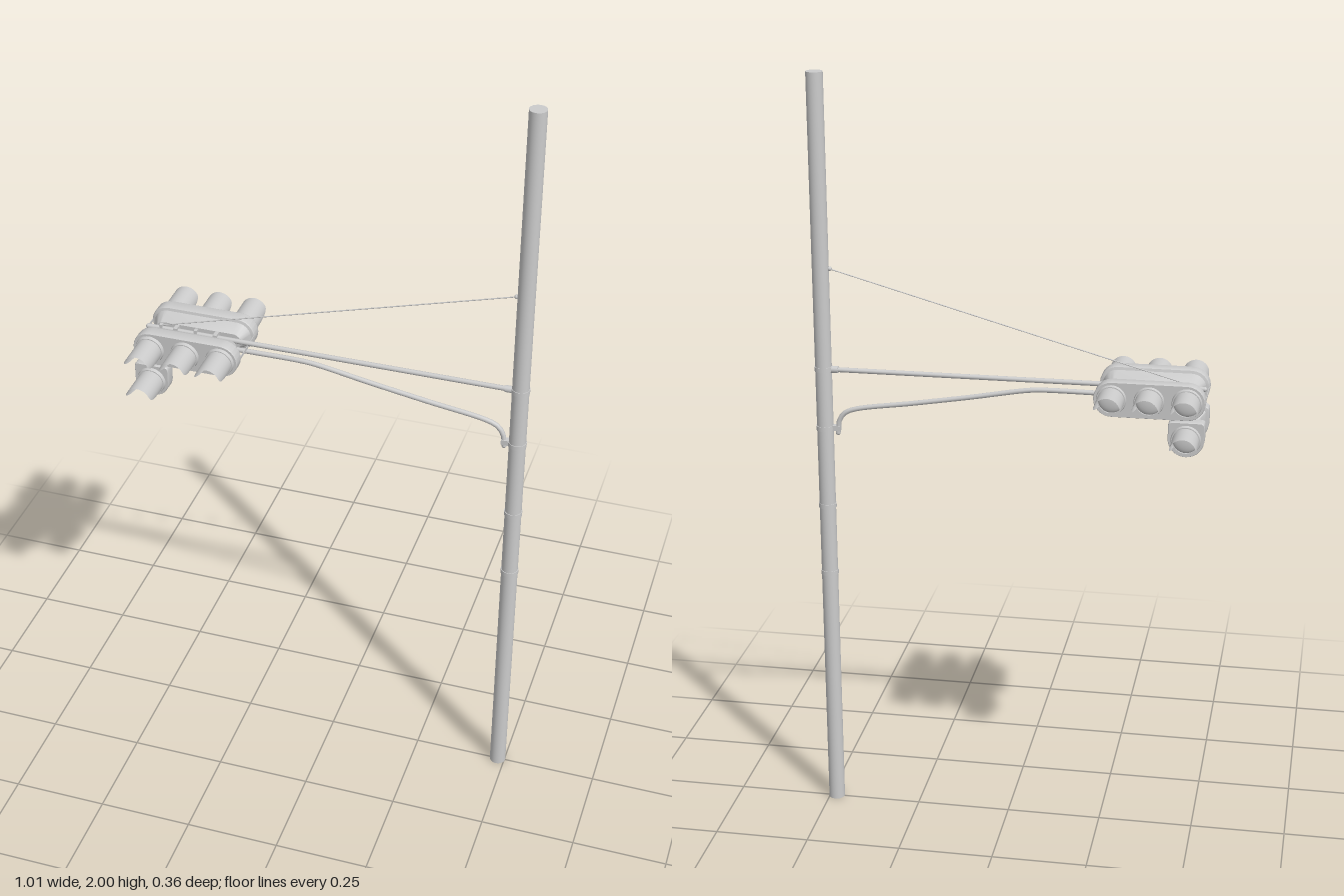
import * as THREE from 'three';
import { toCreasedNormals } from 'three/addons/utils/BufferGeometryUtils.js';

const grey = new THREE.MeshStandardMaterial({ color: 0xcccccc });
const greyThin = new THREE.MeshStandardMaterial({ color: 0xcccccc, side: THREE.DoubleSide });

const POLE_X = 0.481, POLE_R = 0.0215;
const UPPER_Y = 1.225, LOWER_Y = 1.13, LOWER_X = -0.461, HEAD_X = -0.367, PITCH = 0.094;
const BACK_Z = 0.014, STEP_Z = 0.049, FACE_Z = 0.083, RIM_Z = 0.092, TIP_Z = 0.178;

function add(parent, name, geometry, x = 0, y = 0, z = 0, material = grey) {
  const mesh = new THREE.Mesh(geometry, material);
  mesh.name = name;
  mesh.position.set(x, y, z);
  parent.add(mesh);
  return mesh;
}

// Counterclockwise arc sampled into points
function arc(cx, cy, r, from, to, n = 12) {
  return Array.from({ length: n + 1 }, (_, i) => {
    const a = from + (to - from) * i / n;
    return [cx + r * Math.cos(a), cy + r * Math.sin(a)];
  });
}

// Capsule outline for the three-lamp housing
const capsule = (r) => [
  ...arc(PITCH, 0, r, -Math.PI / 2, Math.PI / 2),
  ...arc(-PITCH, 0, r, Math.PI / 2, Math.PI * 1.5),
];

// Round-bottomed, square-topped outline for the single-lamp housing
const shield = (r) => [
  ...arc(0, 0, r, Math.PI, Math.PI * 2, 20),
  ...arc(r * 0.8, r * 0.8, r * 0.2, 0, Math.PI / 2, 4),
  ...arc(-r * 0.8, r * 0.8, r * 0.2, Math.PI / 2, Math.PI, 4),
];

// Closed solid through outlines of changing radius, listed as [z, radius]
function loft(outline, sections) {
  const pos = [], idx = [], n = outline(1).length;
  for (const [z, r] of sections) for (const [x, y] of outline(r)) pos.push(x, y, z);
  for (let i = 0; i < sections.length - 1; i++) {
    for (let j = 0; j < n; j++) {
      const a = i * n + j, b = i * n + (j + 1) % n;
      idx.push(a, b, b + n, a, b + n, a + n);
    }
  }
  const last = (sections.length - 1) * n;
  for (let j = 1; j < n - 1; j++) {
    idx.push(0, j + 1, j);
    idx.push(last, last + j, last + j + 1);
  }
  const g = new THREE.BufferGeometry();
  g.setAttribute('position', new THREE.Float32BufferAttribute(pos, 3));
  g.setIndex(idx);
  return toCreasedNormals(g, 0.5);
}

// Cutaway visor: full length above, curving back to the rim below
function visorGeometry(r) {
  const g = new THREE.CylinderGeometry(r, r, 1, 48, 6, true).rotateX(Math.PI / 2);
  const p = g.attributes.position;
  for (let i = 0; i < p.count; i++) {
    const t = THREE.MathUtils.clamp((p.getY(i) / r + 0.42) / 0.85, 0, 1);
    const end = RIM_Z + (TIP_Z - RIM_Z) * Math.sqrt(1 - (1 - t) ** 2);
    p.setZ(i, FACE_Z + (p.getZ(i) + 0.5) * (end - FACE_Z));
  }
  return g;
}

// One signal head facing +z, with a lamp at each offset
function signalHead(name, outline, offsets) {
  const head = new THREE.Group();
  head.name = name;
  add(head, 'housing', loft(outline, [
    [BACK_Z, 0.022], [STEP_Z - 0.002, 0.037], [STEP_Z, 0.044],
    [STEP_Z + 0.003, 0.0455], [FACE_Z - 0.003, 0.0455], [FACE_Z, 0.044],
  ]));
  for (const x of offsets) {
    const rim = new THREE.CylinderGeometry(0.036, 0.038, RIM_Z - FACE_Z, 40, 1, true).rotateX(Math.PI / 2);
    add(head, 'lampRim', rim, x, 0, (RIM_Z + FACE_Z) / 2, greyThin);
    add(head, 'rimFace', new THREE.RingGeometry(0.032, 0.036, 40), x, 0, RIM_Z);
    const lens = new THREE.SphereGeometry(0.033, 32, 8, 0, Math.PI * 2, 0, Math.PI / 2);
    add(head, 'lens', lens.rotateX(Math.PI / 2).scale(1, 1, 0.3), x, 0, FACE_Z + 0.001);
    add(head, 'visor', visorGeometry(0.0335), x, 0, 0, greyThin);
  }
  return head;
}

// Round bar along a path of [x, y] points, with closed ends
function bar(parent, name, points, r, bends = false) {
  const v = points.map(([x, y]) => new THREE.Vector3(x, y, 0));
  const path = bends ? new THREE.CatmullRomCurve3(v, false, 'centripetal') : new THREE.LineCurve3(v[0], v[1]);
  add(parent, name, new THREE.TubeGeometry(path, bends ? 64 : 1, r, 12), 0, 0, 0, greyThin);
  for (const end of [v[0], v[v.length - 1]]) {
    add(parent, name + 'End', new THREE.SphereGeometry(r, 12, 8), end.x, end.y, 0);
  }
}

export function createModel() {
  const model = new THREE.Group();
  model.name = 'trafficSignalPole';

  // Pole with its clamp bands
  add(model, 'pole', new THREE.CylinderGeometry(POLE_R, POLE_R, 2, 32), POLE_X, 1, 0);
  for (const y of [0.675, 0.865, 1.08, 1.24]) {
    add(model, 'poleBand', new THREE.CylinderGeometry(0.0232, 0.0232, 0.012, 32), POLE_X, y, 0);
  }

  // Mast arm, curved brace and stay wire
  bar(model, 'upperArm', [[-0.497, 1.238], [POLE_X, 1.238]], 0.0065);
  bar(model, 'lowerArm', [
    [-0.497, 1.213], [-0.25, 1.213], [-0.09, 1.213], [-0.05, 1.21], [0.1, 1.183], [0.25, 1.158],
    [0.4, 1.134], [0.428, 1.122], [0.443, 1.1], [0.447, 1.067],
  ], 0.0065, true);
  bar(model, 'stayWire', [[-0.461, 1.247], [0.458, 1.504]], 0.0015);

  // Fixings on the pole
  add(model, 'wireEye', new THREE.SphereGeometry(0.006, 12, 8), 0.457, 1.504, 0);
  add(model, 'braceClip', new THREE.BoxGeometry(0.03, 0.014, 0.016), 0.455, 1.08, 0);
  add(model, 'armSocket', new THREE.CylinderGeometry(0.009, 0.009, 0.02, 16).rotateZ(Math.PI / 2), 0.452, 1.238, 0);

  // Hangers between the arms, and the drop bar for the lower heads
  for (const x of [-0.42, -0.313]) {
    add(model, 'hanger', new THREE.BoxGeometry(0.01, 0.05, 0.022), x, 1.225, 0);
  }
  for (const x of [LOWER_X, HEAD_X]) {
    add(model, 'wireClip', new THREE.BoxGeometry(0.008, 0.012, 0.012), x, 1.245, 0);
  }
  add(model, 'dropBar', new THREE.BoxGeometry(0.012, 0.12, 0.01), LOWER_X, 1.165, 0);
  add(model, 'lowerMount', new THREE.BoxGeometry(0.02, 0.02, 0.03), LOWER_X, LOWER_Y, 0);

  // Thin straps tying the back-to-back heads at both ends
  for (const x of [-0.505, -0.229]) {
    add(model, 'strap', new THREE.BoxGeometry(0.0015, 0.008, 0.12), x, UPPER_Y, 0);
  }

  // Heads facing front and back
  for (const [side, turn] of [['front', 0], ['back', Math.PI]]) {
    const upper = signalHead(side + 'TripleHead', capsule, [-PITCH, 0, PITCH]);
    upper.position.set(HEAD_X, UPPER_Y, 0);
    const lower = signalHead(side + 'SingleHead', shield, [0]);
    lower.position.set(LOWER_X, LOWER_Y, 0);
    for (const head of [upper, lower]) {
      head.rotation.y = turn;
      model.add(head);
    }
  }
  return model;
}
